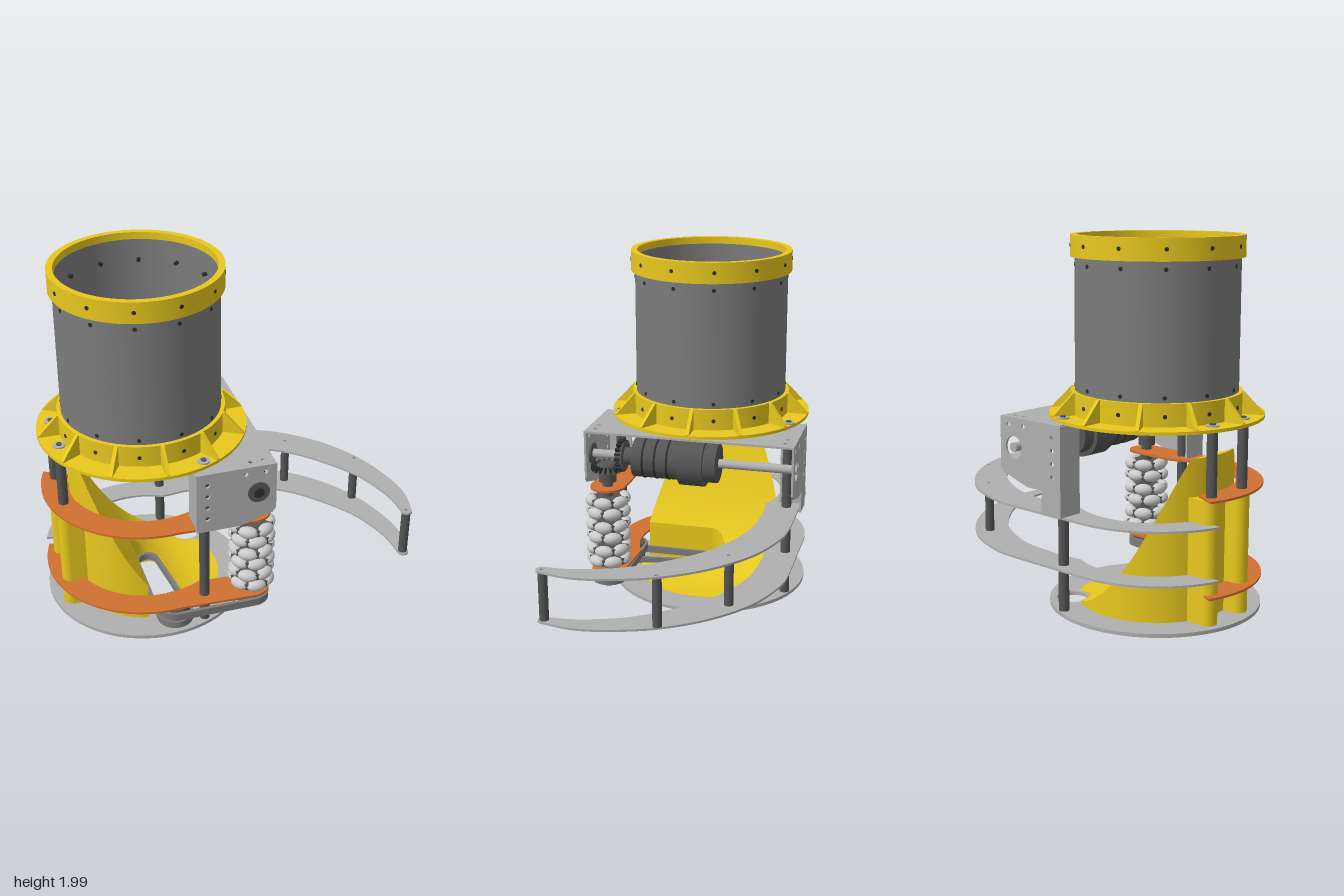
import * as THREE from 'three';
import { toCreasedNormals } from 'three/addons/utils/BufferGeometryUtils.js';

const CX = -0.43, CZ = -0.01; // main vertical axis
const mat = (color) => new THREE.MeshStandardMaterial({ color, side: THREE.DoubleSide });
const yellow = mat(0xe8c81e), orange = mat(0xd07030), tubeGrey = mat(0x7c7c7c), plateGrey = mat(0xb0b0b0);
const dark = mat(0x555555), black = mat(0x2c2c2c), white = mat(0xe8e8e8);
const rad = THREE.MathUtils.degToRad;

export function createModel() {
  const model = new THREE.Group();

  function add(name, geo, material, x = 0, y = 0, z = 0, parent = model) {
    const mesh = new THREE.Mesh(geo, material);
    mesh.name = name;
    mesh.position.set(x, y, z);
    parent.add(mesh);
    return mesh;
  }
  const extrude = (shape, depth) => toCreasedNormals(
    new THREE.ExtrudeGeometry(shape, { depth, bevelEnabled: false, curveSegments: 36 }), 0.5);
  // Horizontal plate: the shape is drawn in (x, z)
  function plate(name, shape, y0, y1, material) {
    const geo = extrude(shape, y1 - y0).rotateX(Math.PI / 2);
    return add(name, geo, material, 0, y1, 0);
  }
  const circle = (x, z, r, Type = THREE.Shape) => new Type().absarc(x, z, r, 0, Math.PI * 2);
  function punch(shape, ...holes) {
    holes.forEach(([x, y, r]) => shape.holes.push(circle(x, y, r, THREE.Path)));
    return shape;
  }
  const ring = (name, rOut, rIn, y0, y1, material) =>
    plate(name, punch(circle(CX, CZ, rOut), [CX, CZ, rIn]), y0, y1, material);
  function post(name, x, z, r, y0, y1, material, rTop = r, sides = 24) {
    return add(name, new THREE.CylinderGeometry(rTop, r, y1 - y0, sides), material, x, (y0 + y1) / 2, z);
  }
  // Cylinder lying along z
  function axle(name, x, y, r, z0, z1, material, rFront = r, sides = 32) {
    const geo = new THREE.CylinderGeometry(rFront, r, z1 - z0, sides).rotateX(Math.PI / 2);
    return add(name, geo, material, x, y, (z0 + z1) / 2);
  }
  const arcPoints = (r, a0, a1, n = 32) => Array.from({ length: n + 1 }, (_, i) => {
    const a = rad(a0 + (a1 - a0) * i / n);
    return new THREE.Vector2(CX + r * Math.cos(a), CZ + r * Math.sin(a));
  });

  // Drum with its top collar and screw holes
  ring('drum', 0.435, 0.42, 1.1, 1.95, tubeGrey);
  ring('topCollar', 0.457, 0.422, 1.875, 1.99, yellow);
  for (const [y, r] of [[1.2, 0.435], [1.835, 0.435], [1.935, 0.457], [1.11, 0.457]])
    for (let i = 0; i < 12; i++) {
      const a = rad(15 + i * 30);
      const hole = add('screwHole', new THREE.CylinderGeometry(0.011, 0.011, 0.04, 10).rotateX(Math.PI / 2),
        black, CX + (r - 0.017) * Math.sin(a), y, CZ + (r - 0.017) * Math.cos(a));
      hole.rotation.y = a;
    }

  // Ribbed flange under the drum
  ring('flangeDisc', 0.575, 0.42, 1.04, 1.057, yellow);
  ring('flangeCollar', 0.457, 0.42, 1.04, 1.175, yellow);
  const ribShape = new THREE.Shape([[0.45, 1.05], [0.572, 1.05], [0.572, 1.062], [0.465, 1.175], [0.45, 1.175]]
    .map(p => new THREE.Vector2(...p)));
  const ribGeo = extrude(ribShape, 0.02).translate(0, 0, -0.01);
  for (let i = 0; i < 12; i++) add('flangeRib', ribGeo, yellow, CX, 0, CZ).rotation.y = rad(i * 30);
  for (const [x, z] of [[-0.91, -0.15], [-0.91, 0.11], [-0.22, -0.51], [-0.22, 0.48]]) {
    post('flangeBolt', x, z, 0.034, 1.055, 1.065, plateGrey);
    post('boltHead', x, z, 0.016, 1.065, 1.072, dark, 0.016, 6);
    post('supportPost', x, z, 0.028, 0.02, 1.04, dark);
  }

  // Base plate
  plate('basePlate', punch(circle(CX, CZ, 0.575), [CX, CZ, 0.27], [-0.11, -0.33, 0.085]), 0, 0.02, plateGrey);

  // Curved ramp: a round column cut by a falling curve, with a belt slot and a corner notch
  const R = 0.42, slotX = -0.425, slotR = 0.095;
  const round = (x, c, r) => Math.sqrt(Math.max(0, r * r - (x - c) ** 2));
  function rampPart(x0, x1, slotted) {
    const n = 48, loops = [], pos = [];
    for (let i = 0; i <= n; i++) {
      const x = x0 + (x1 - x0) * i / n, w = round(x, CX, R);
      const s = THREE.MathUtils.clamp((x + 0.81) / 0.8, 0, 1);
      const h = 0.022 + 0.858 * (1 - s) ** 3;
      const notch = x > -0.21 && x < -0.01 ? -0.33 + round(x, -0.11, 0.1) : -1;
      const front = slotted ? -0.005 - round(x, slotX, slotR) : CZ + w;
      const back = Math.min(front, Math.max(CZ - w, notch));
      loops.push([[x, 0.02, back], [x, h, back], [x, h, front], [x, 0.02, front]]);
    }
    const quad = (a, b, c, d) => pos.push(...a, ...b, ...c, ...a, ...c, ...d);
    for (let i = 0; i < n; i++)
      for (let j = 0; j < 4; j++) {
        const k = (j + 1) % 4;
        quad(loops[i][j], loops[i][k], loops[i + 1][k], loops[i + 1][j]);
      }
    quad(...[...loops[0]].reverse());
    quad(...loops[n]);
    const geo = new THREE.BufferGeometry();
    geo.setAttribute('position', new THREE.Float32BufferAttribute(pos, 3));
    add('ramp', toCreasedNormals(geo, 0.5), yellow);
  }
  rampPart(CX - R, slotX - slotR, false);
  rampPart(slotX - slotR, slotX + slotR, true);
  rampPart(slotX + slotR, CX + R, false);
  for (const z of [-0.15, 0.11]) {
    post('postBoss', -0.9, z, 0.05, 0.02, 0.68, yellow);
    add('bossWeb', new THREE.BoxGeometry(0.1, 0.66, 0.1), yellow, -0.85, 0.35, z);
  }

  // Orange crescent plates that hold the roller shaft
  const crescent = new THREE.Shape(arcPoints(0.575, 202, 85));
  crescent.lineTo(0.05, 0.58).absarc(0.05, 0.48, 0.1, Math.PI / 2, -Math.PI / 2, true);
  arcPoints(0.43, 62, 200).forEach(p => crescent.lineTo(p.x, p.y));
  plate('lowerCrescentPlate', crescent, 0.173, 0.185, orange);
  plate('upperCrescentPlate', crescent, 0.68, 0.692, orange);

  // Hooked guide arms and their spacers
  const hook = new THREE.Shape(arcPoints(0.575, -164, -90));
  hook.lineTo(0.1, -0.585);
  hook.splineThru([[0.25, -0.565], [0.5, -0.465], [0.72, -0.285], [0.88, -0.06], [0.97, 0.18], [1, 0.38], [0.972, 0.55]]
    .map(p => new THREE.Vector2(...p)));
  hook.absarc(0.942, 0.55, 0.03, 0, Math.PI, false);
  hook.splineThru([[0.9, 0.38], [0.82, 0.15], [0.68, -0.05], [0.52, -0.21], [0.33, -0.32], [0.15, -0.38], [-0.1, -0.4]]
    .map(p => new THREE.Vector2(...p)));
  arcPoints(0.425, -62, -160).forEach(p => hook.lineTo(p.x, p.y));
  punch(hook, [0.54, -0.34, 0.011], [0.87, -0.04, 0.011], [0.942, 0.545, 0.011]);
  plate('lowerGuideArm', hook, 0.26, 0.272, plateGrey);
  plate('upperGuideArm', hook, 0.543, 0.555, plateGrey);
  for (const [x, z] of [[0.54, -0.34], [0.87, -0.04], [0.942, 0.545]])
    post('armSpacer', x, z, 0.025, 0.272, 0.543, dark);

  // Drive bracket: top plate, two side plates and their bent flanges
  const top = new THREE.Shape([[-0.28, -0.6], [0.15, -0.6], [0.15, 0.58], [-0.28, 0.58]].map(p => new THREE.Vector2(...p)));
  arcPoints(0.44, 68, -68).forEach(p => top.lineTo(p.x, p.y));
  plate('bracketTop', punch(top, [0.09, -0.55, 0.013], [0.02, -0.55, 0.013], [0.09, 0.53, 0.013], [0.02, 0.53, 0.013]),
    1.028, 1.04, plateGrey);
  const sideHoles = [0.76, 0.83, 0.9, 0.97].map(y => [-0.23, y, 0.013]);
  for (const [z, low, holeR] of [[0.57, 0.68, 0.05], [-0.605, 0.68, 0.06]]) {
    const side = new THREE.Shape([[-0.29, low], [-0.05, low], [0.13, 0.735], [0.15, 0.76], [0.15, 1.04], [-0.29, 1.04]]
      .map(p => new THREE.Vector2(...p)));
    punch(side, ...sideHoles, [0.05, 0.88, holeR], [-0.02, 1, 0.013], [0.09, 1, 0.013]);
    add('bracketSide', extrude(side, 0.012), plateGrey, 0, 0, z);
  }
  add('bracketFlange', new THREE.BoxGeometry(0.012, 0.35, 0.14), plateGrey, -0.284, 0.86, 0.505);
  add('bracketFlange', new THREE.BoxGeometry(0.012, 0.48, 0.14), plateGrey, -0.284, 0.795, -0.53);
  add('bracketTab', new THREE.BoxGeometry(0.135, 0.14, 0.012), plateGrey, -0.22, 0.62, -0.599);

  // Motor with its output shaft and bevel gears
  axle('motorBody', 0.05, 0.88, 0.11, -0.17, 0.31, dark);
  axle('motorCollar', 0.05, 0.88, 0.135, -0.1, 0.04, dark);
  for (const z of [0.1, 0.17, 0.24]) axle('motorBand', 0.05, 0.88, 0.113, z, z + 0.01, black);
  axle('motorNose', 0.05, 0.88, 0.05, 0.31, 0.38, dark);
  axle('driveShaft', 0.05, 0.88, 0.025, -0.61, 0.59, plateGrey);
  axle('frontBearing', 0.05, 0.88, 0.06, 0.56, 0.59, dark);
  axle('hexNut', 0.05, 0.88, 0.03, 0.585, 0.6, black, 0.03, 6);
  axle('driveBevelGear', 0.05, 0.88, 0.09, 0.37, 0.42, dark, 0.05);
  post('rollerBevelGear', 0.05, 0.48, 0.09, 0.785, 0.83, dark, 0.05);
  for (let i = 0; i < 18; i++) {
    const a = rad(i * 20), c = Math.cos(a) * 0.078, s = Math.sin(a) * 0.078;
    add('bevelTooth', new THREE.BoxGeometry(0.012, 0.03, 0.03), black, 0.05 + s, 0.805, 0.48 + c).rotation.y = a;
    add('bevelTooth', new THREE.BoxGeometry(0.03, 0.012, 0.03), black, 0.05 + c, 0.88 + s, 0.395).rotation.z = a;
  }
  post('gearHub', 0.05, 0.48, 0.05, 0.72, 0.79, dark);

  // Stack of roller wheels, alternate wheels turned half a step
  post('rollerShaft', 0.05, 0.48, 0.03, 0.09, 0.8, dark);
  [0.25, 0.318, 0.398, 0.465, 0.545, 0.612].forEach((y, row) => {
    const wheel = new THREE.Group();
    wheel.name = 'rollerWheel';
    wheel.position.set(0.05, y, 0.48);
    wheel.rotation.y = rad(row % 2 * 30);
    model.add(wheel);
    add('wheelHub', new THREE.CylinderGeometry(0.075, 0.075, 0.04, 24), dark, 0, 0, 0, wheel);
    for (let i = 0; i < 6; i++) {
      const a = rad(i * 60);
      add('roller', new THREE.SphereGeometry(1, 16, 12).scale(0.056, 0.034, 0.034), white,
        0.097 * Math.sin(a), 0, 0.097 * Math.cos(a), wheel).rotation.y = a;
      const b = a + rad(30);
      add('rollerFork', new THREE.BoxGeometry(0.022, 0.036, 0.05), dark,
        0.09 * Math.sin(b), 0, 0.09 * Math.cos(b), wheel).rotation.y = b;
    }
  });

  // Belts: the outline wraps two pulleys
  function beltPath(Type, [x1, z1, r1], [x2, z2, r2], inset) {
    const dir = Math.atan2(z2 - z1, x2 - x1);
    const a = Math.acos((r1 - r2) / Math.hypot(x2 - x1, z2 - z1));
    return new Type().absarc(x1, z1, r1 - inset, dir + a, dir - a + Math.PI * 2, false)
      .absarc(x2, z2, r2 - inset, dir - a, dir + a, false).closePath();
  }
  function belt(p, q, y0, y1) {
    const shape = beltPath(THREE.Shape, p, q, 0);
    shape.holes.push(beltPath(THREE.Path, p, q, 0.02));
    plate('belt', shape, y0, y1, tubeGrey);
  }
  belt([-0.39, 0.48, 0.1], [0.05, 0.48, 0.1], 0.11, 0.155);
  belt([-0.425, -0.015, 0.07], [-0.39, 0.48, 0.1], 0.06, 0.1);
  post('rollerPulley', 0.05, 0.48, 0.082, 0.1, 0.165, dark);
  post('idlerPulley', -0.39, 0.48, 0.082, 0.055, 0.16, dark);
  post('idlerShaft', -0.39, 0.48, 0.025, 0.02, 0.18, dark);
  return model;
}
